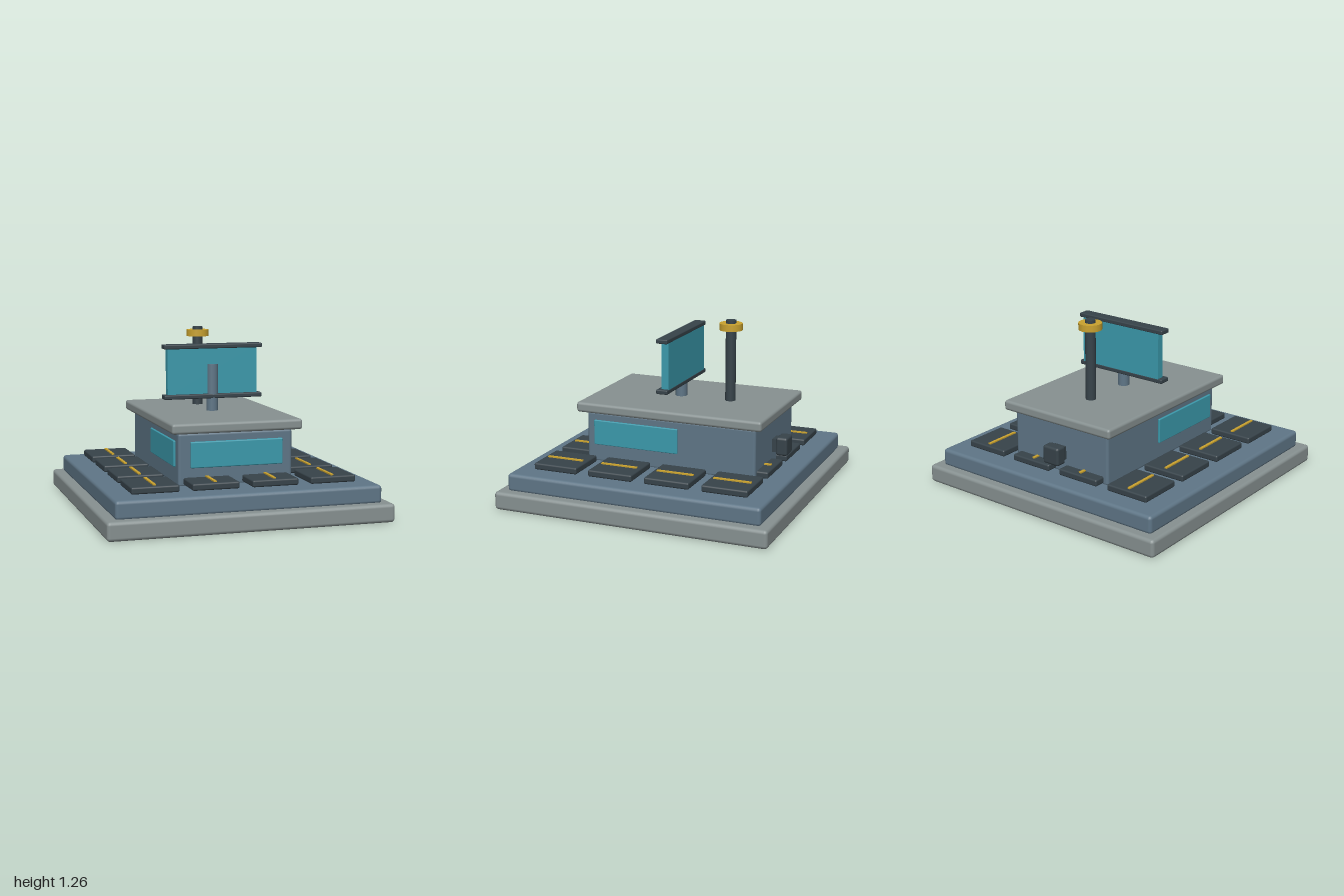
import * as THREE from 'three';
import { RoundedBoxGeometry } from 'three/addons/geometries/RoundedBoxGeometry.js';

function material(name, color) {
  const m = new THREE.MeshStandardMaterial({ color });
  m.name = name;
  return m;
}

export function createModel() {
  const group = new THREE.Group();
  const concrete = material('concrete grey', 0x879191);
  const slate = material('slate blue', 0x5f7687);
  const dark = material('dark charcoal', 0x37434a);
  const glass = material('teal glass', 0x3b9aac);
  const gold = material('gold', 0xcba32f);

  const add = (name, geometry, mat, x, y, z) => {
    const mesh = new THREE.Mesh(geometry, mat);
    mesh.name = name;
    mesh.position.set(x, y, z);
    group.add(mesh);
    return mesh;
  };
  // Box given by its limits on each axis; a radius rounds the edges
  const box = (name, mat, [x0, x1], [y0, y1], [z0, z1], r = 0) => {
    const size = [x1 - x0, y1 - y0, z1 - z0];
    const geometry = r ? new RoundedBoxGeometry(...size, 2, r) : new THREE.BoxGeometry(...size);
    return add(name, geometry, mat, (x0 + x1) / 2, (y0 + y1) / 2, (z0 + z1) / 2);
  };
  const rod = (name, mat, r, y0, y1, z, sides) =>
    add(name, new THREE.CylinderGeometry(r, r, y1 - y0, sides), mat, 0, (y0 + y1) / 2, z);

  // Stepped base
  box('base', concrete, [-1, 1], [0, 0.13], [-1, 1], 0.025);
  box('platform', slate, [-0.93, 0.93], [0.12, 0.25], [-0.93, 0.93], 0.025);

  // Ring of floor panels, each with a gold strip
  const spots = [-0.627, -0.21, 0.21, 0.627];
  spots.forEach((x, i) => spots.forEach((z, j) => {
    const inner = (i === 1 || i === 2) && (j === 1 || j === 2);
    if (inner) return;
    box('floorPanel', dark, [x - 0.164, x + 0.164], [0.257, 0.305], [z - 0.164, z + 0.164], 0.012);
    box('panelStrip', gold, [x - 0.01, x + 0.01], [0.3, 0.314], [z - 0.135, z + 0.135]);
  }));

  // Cabin and roof
  box('cabin', slate, [-0.41, 0.41], [0.24, 0.61], [-0.71, 0.56], 0.02);
  box('roof', concrete, [-0.467, 0.467], [0.61, 0.683], [-0.767, 0.618], 0.02);

  // Windows
  box('frontWindow', glass, [-0.33, 0.33], [0.373, 0.553], [0.57, 0.595], 0.008);
  for (const s of [-1, 1]) {
    box('sideWindow', glass, [s * 0.419 - 0.009, s * 0.419 + 0.009], [0.373, 0.553], [-0.14, 0.5], 0.006);
  }

  // Rear fitting
  box('rearNeck', dark, [-0.048, 0.048], [0.35, 0.445], [-0.75, -0.7]);
  box('rearKnob', dark, [-0.068, 0.068], [0.332, 0.465], [-0.825, -0.74], 0.018);

  // Screen on its post, framed by two bars
  rod('screenPost', slate, 0.042, 0.67, 1.02, 0.002, 16);
  box('screen', glass, [-0.335, 0.335], [0.79, 1.15], [-0.04, 0.013]);
  for (const y of [0.79, 1.15]) {
    box('screenBar', dark, [-0.367, 0.367], [y - 0.016, y + 0.016], [-0.042, 0.044], 0.008);
  }

  // Mast with a gold collar
  rod('mast', dark, 0.037, 0.67, 1.265, -0.375, 16);
  rod('mastCollar', gold, 0.083, 1.195, 1.243, -0.375, 16);

  return group;
}
